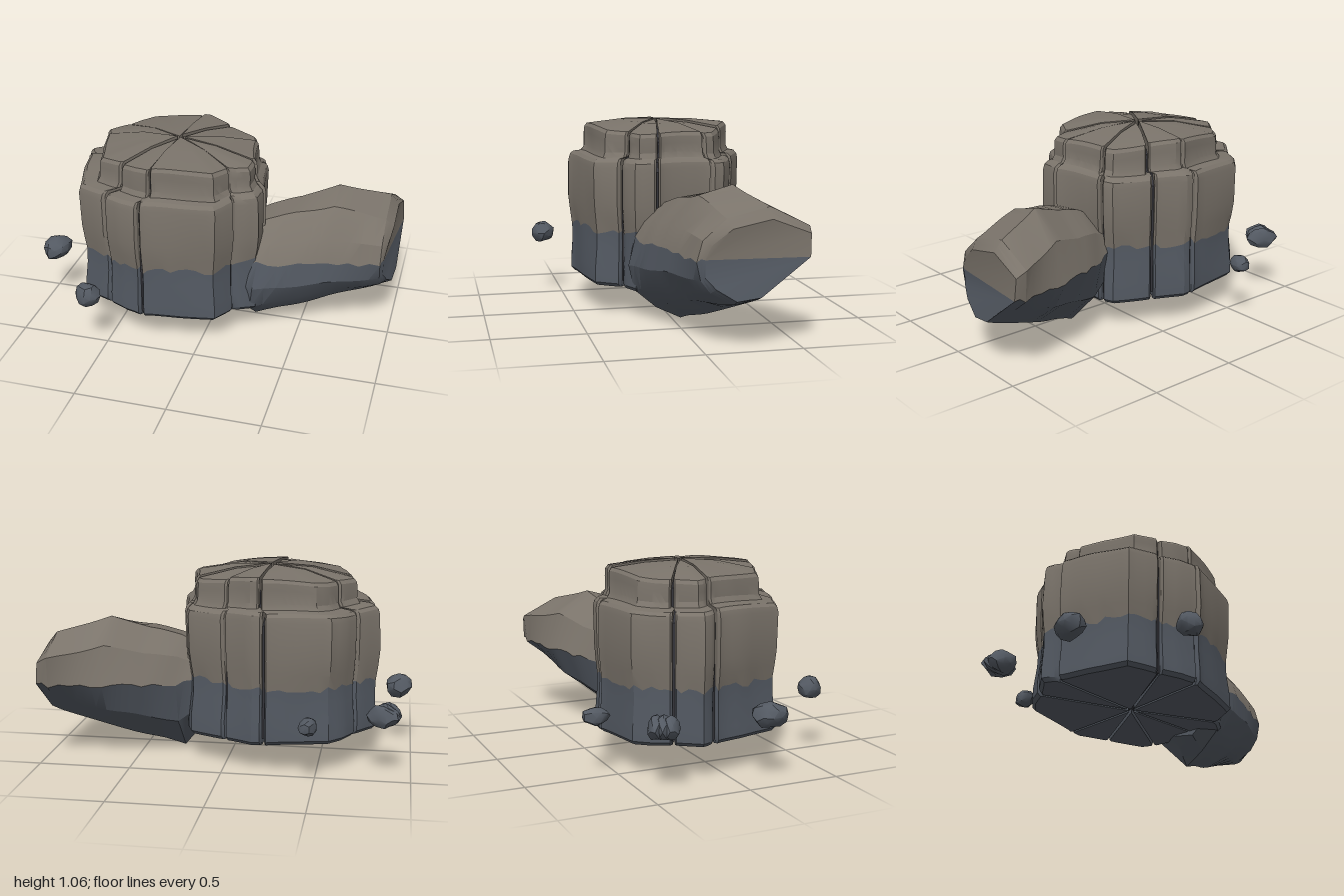
import * as THREE from 'three';
import { toCreasedNormals, mergeVertices } from 'three/addons/utils/BufferGeometryUtils.js';

const dryStone = new THREE.MeshStandardMaterial({ color: 0x7a736a });
const wetStone = new THREE.MeshStandardMaterial({ color: 0x535962 });
const crackStone = new THREE.MeshStandardMaterial({ color: 0x34343a });

// Small repeatable irregularity
const wobble = (x, y, z) => Math.sin(9 * x + 4 * y + 1) * Math.sin(8 * z - 5 * y + 2);
const jag = (x, z) => { const s = Math.sin(x * 127.1 + z * 311.7) * 43758.5; return s - Math.floor(s) - 0.5; };

// Skin a stack of equal-length rings, each clockwise when seen from the last ring's side
function loft(rings, crease = 0.5) {
  const n = rings[0].length, index = [];
  for (let k = 0; k < rings.length - 1; k++) {
    for (let i = 0; i < n; i++) {
      const j = (i + 1) % n, a = k * n + i, b = k * n + j;
      index.push(a, a + n, b + n, a, b + n, b);
    }
  }
  const top = (rings.length - 1) * n;
  for (let i = 1; i < n - 1; i++) index.push(0, i, i + 1, top, top + i + 1, top + i);
  const geo = new THREE.BufferGeometry();
  geo.setAttribute('position', new THREE.Float32BufferAttribute(rings.flat(2), 3));
  geo.setIndex(index);
  return toCreasedNormals(geo, crease);
}

function addMesh(parent, name, geo, mat) {
  const mesh = new THREE.Mesh(geo, mat);
  mesh.name = name;
  parent.add(mesh);
  return mesh;
}

// Drum wedges: rim points (x, z) from one crack to the next
const CENTRE = new THREE.Vector2(-0.25, -0.02);
const WEDGES = [
  [[0.29, 0.08], [0.28, 0.2], [0.17, 0.26]],
  [[0.17, 0.26], [0.09, 0.39], [-0.1, 0.44], [-0.31, 0.48]],
  [[-0.31, 0.48], [-0.41, 0.45], [-0.52, 0.39]],
  [[-0.52, 0.39], [-0.69, 0.32], [-0.75, 0.1], [-0.78, -0.08]],
  [[-0.78, -0.08], [-0.81, -0.16], [-0.7, -0.28]],
  [[-0.7, -0.28], [-0.64, -0.38], [-0.57, -0.45], [-0.22, -0.5]],
  [[-0.22, -0.5], [-0.16, -0.5], [0, -0.41]],
  [[0, -0.41], [0.2, -0.31], [0.23, -0.24]],
  [[0.23, -0.24], [0.26, -0.05], [0.29, 0.08]],
];
// Layers of the drum: [radius scale, height]
const WATER = [0.965, 0.465];
const LOWER = [[0.95, 0.165], [0.985, 0.185], [0.985, 0.26], [0.965, 0.38], WATER];
const UPPER = [WATER, [0.985, 0.54], [1, 0.62], [1, 0.82], [0.985, 0.85], [0.95, 0.866], [0.865, 0.873],
  [0.835, 0.9], [0.835, 0.96], [0.828, 0.998], [0.8, 1.016], [0.42, 1.05]];
const CORE = [[0.92, 0.19], [0.92, 0.8], [0.76, 0.85], [0.76, 0.96], [0.4, 1.02]];
const TIER_SHIFT = 0.032;

// Outline of one wedge, pulled in from both cracks with rounded edges
function wedgeOutline(rim, gap) {
  const p = rim.map(([x, z]) => new THREE.Vector2(x, z).sub(CENTRE));
  const d0 = p[0].clone().normalize(), d1 = p[p.length - 1].clone().normalize();
  const n0 = new THREE.Vector2(-d0.y, d0.x), n1 = new THREE.Vector2(d1.y, -d1.x);
  const half = Math.acos(d0.dot(d1)) / 2;
  const apex = d0.clone().add(d1).normalize().multiplyScalar(gap / Math.sin(half));
  const pts = [p[0].clone().multiplyScalar(0.97).addScaledVector(n0, gap)];
  for (let i = 0; i < p.length - 1; i++) {
    const steps = Math.max(2, Math.round(p[i].distanceTo(p[i + 1]) / 0.045));
    for (let k = 0; k < steps; k++) pts.push(p[i].clone().lerp(p[i + 1], k / steps));
  }
  pts.push(p[p.length - 1].clone());
  pts[1].addScaledVector(n0, gap + 0.01);
  pts[pts.length - 1].addScaledVector(n1, gap + 0.01);
  pts.push(p[p.length - 1].clone().multiplyScalar(0.97).addScaledVector(n1, gap));
  return [apex, ...pts];
}

function wedgeRings(outline, layers, lift) {
  return layers.map((layer) => {
    const [s, h] = layer;
    const shift = h > 0.87 ? TIER_SHIFT : 0;
    return outline.map((q, i) => {
      const k = i === 0 ? 1 : s + 0.014 * wobble(q.x, h, q.y);
      const x = CENTRE.x + q.x * k + shift, z = CENTRE.y + q.y * k;
      let y = h;
      if (layer === WATER) y += 0.04 * jag(q.x, q.y);
      else if (h < 0.2) y -= 0.03 * (x + 0.25) - 0.015 * z;
      else if (h > 0.8) y += lift + 0.008 * wobble(z, h, x);
      // The crown falls away to the sides more than to front and back
      if (h > 0.95) y += 0.08 * k * k * (q.y * q.y - q.x * q.x);
      if (h === 1.05 && i === 0) y += 0.016;
      return [x, y, z];
    });
  });
}

function makeDrum() {
  const drum = new THREE.Group();
  drum.name = 'splitStoneDrum';
  WEDGES.forEach((rim, i) => {
    const wedge = new THREE.Group();
    wedge.name = `wedge${i + 1}`;
    const outline = wedgeOutline(rim, 0.006 + 0.002 * (i % 2));
    const lift = 0.006 * Math.sin(i * 2.4);
    addMesh(wedge, 'wedgeBase', loft(wedgeRings(outline, LOWER, lift)), wetStone);
    addMesh(wedge, 'wedgeTop', loft(wedgeRings(outline, UPPER, lift)), dryStone);
    drum.add(wedge);
  });
  // Solid core that closes the cracks at their bottom
  const rim = WEDGES.flatMap((w) => w.slice(0, -1));
  addMesh(drum, 'core', loft(CORE.map(([s, y]) => rim.map(([x, z]) => [
    CENTRE.x + (x - CENTRE.x) * s + (y > 0.84 ? TIER_SHIFT : 0), y, CENTRE.y + (z - CENTRE.y) * s]))), crackStone);
  return drum;
}

// Boulder sections along x; each lists points as [z, y, optional x offset]:
// seven from the back waterline under to the front one, then four over the top
const BOULDER = [
  { x: 0.16, pts: [[-0.24, 0.43], [-0.22, 0.28], [-0.04, 0.15], [0.08, 0.13], [0.17, 0.2], [0.2, 0.32], [0.2, 0.44],
    [0.17, 0.52], [0.05, 0.6], [-0.1, 0.6], [-0.2, 0.52]] },
  { x: 0.28, pts: [[-0.31, 0.43], [-0.25, 0.2], [-0.05, 0], [0.08, 0.06, -0.03], [0.2, 0.16, -0.04], [0.235, 0.3, -0.02], [0.2, 0.45],
    [0.15, 0.54], [0.04, 0.645], [-0.12, 0.665], [-0.26, 0.57]] },
  { x: 0.45, pts: [[-0.4, 0.44], [-0.32, 0.24], [-0.09, 0.055], [0.055, 0.125], [0.13, 0.21], [0.185, 0.32], [0.17, 0.45],
    [0.12, 0.57], [0, 0.69], [-0.17, 0.71], [-0.33, 0.6]] },
  { x: 0.65, pts: [[-0.475, 0.44], [-0.39, 0.29], [-0.17, 0.125], [0, 0.185], [0.065, 0.26], [0.12, 0.34], [0.11, 0.45],
    [0.07, 0.58], [-0.05, 0.73], [-0.23, 0.78], [-0.41, 0.65]] },
  { x: 0.93, pts: [[-0.53, 0.45], [-0.43, 0.36], [-0.28, 0.24], [-0.16, 0.22], [-0.04, 0.285], [0.01, 0.35], [0.03, 0.45],
    [0, 0.55], [-0.12, 0.655], [-0.34, 0.7], [-0.545, 0.6]] },
  { x: 0.995, pts: [[-0.53, 0.455], [-0.43, 0.385], [-0.28, 0.27], [-0.16, 0.25, -0.01], [-0.06, 0.31, -0.03], [-0.01, 0.365, -0.05], [-0.01, 0.45, -0.05],
    [-0.04, 0.53, -0.04], [-0.14, 0.61, -0.02], [-0.34, 0.645, -0.02], [-0.535, 0.57, -0.01]] },
];

function makeBoulder() {
  const boulder = new THREE.Group();
  boulder.name = 'leaningBoulder';
  // In-between sections, with an uneven waterline and slightly dented faces
  const rings = [];
  BOULDER.forEach((section, s) => {
    const next = BOULDER[s + 1] ?? section;
    const steps = next === section ? 1 : Math.ceil((next.x - section.x) / 0.06);
    for (let k = 0; k < steps; k++) {
      const t = k / steps, mix = (a, b) => a + (b - a) * t;
      rings.push(section.pts.map(([z, y, dx = 0], i) => {
        const [z2, y2, dx2 = 0] = next.pts[i];
        const x = mix(section.x + dx, next.x + dx2);
        const dy = i === 0 || i === 6 ? 0.03 * jag(x, i) : 0.005 * wobble(x * 2, y, z);
        return [x, Math.max(0, mix(y, y2) + dy), mix(z, z2)];
      }));
    }
  });
  addMesh(boulder, 'boulderBase', loft(rings.map((r) => r.slice(0, 7)), 0.45), wetStone);
  addMesh(boulder, 'boulderTop', loft(rings.map((r) => [...r.slice(6), r[0]]), 0.45), dryStone);
  return boulder;
}

// Small loose stones: a sphere pushed in and out by the irregularity rule
function pebbleGeometry(seed, w, h, d) {
  let geo = new THREE.IcosahedronGeometry(0.5, 1);
  geo.deleteAttribute('normal');
  geo.deleteAttribute('uv');
  geo = mergeVertices(geo);
  const pos = geo.attributes.position, v = new THREE.Vector3();
  for (let i = 0; i < pos.count; i++) {
    v.fromBufferAttribute(pos, i);
    v.multiplyScalar(1 + 0.25 * jag(v.x + seed, v.y * 2 + v.z));
    pos.setXYZ(i, v.x * w, v.y * h, v.z * d);
  }
  return toCreasedNormals(geo, 0.6);
}

export function createModel() {
  const model = new THREE.Group();
  model.name = 'splitRockFormation';
  model.add(makeDrum(), makeBoulder());

  // Pebbles: [x, y, z, width, height, depth, turn]
  [[-0.47, 0.315, -0.61, 0.09, 0.1, 0.14, -0.2],
    [-0.922, 0.348, 0.15, 0.15, 0.13, 0.18, -0.3],
    [-0.56, 0.36, 0.605, 0.14, 0.125, 0.13, -0.5]].forEach(([x, y, z, w, h, d, turn], i) => {
    const p = addMesh(model, `pebble${i + 1}`, pebbleGeometry(i + 1, w, h, d), wetStone);
    p.position.set(x, y, z);
    p.rotation.y = turn;
  });

  // Cracked pebble made of three overlapping slabs
  const cracked = new THREE.Group();
  cracked.name = 'crackedPebble';
  for (let i = 0; i < 3; i++) {
    const slab = addMesh(cracked, `slab${i + 1}`, pebbleGeometry(i + 5, 0.17 - 0.01 * i, 0.12, 0.09), wetStone);
    slab.position.z = (i - 1) * 0.035;
  }
  cracked.position.set(-0.86, 0.33, -0.405);
  cracked.rotation.y = -0.5;
  model.add(cracked);
  return model;
}
